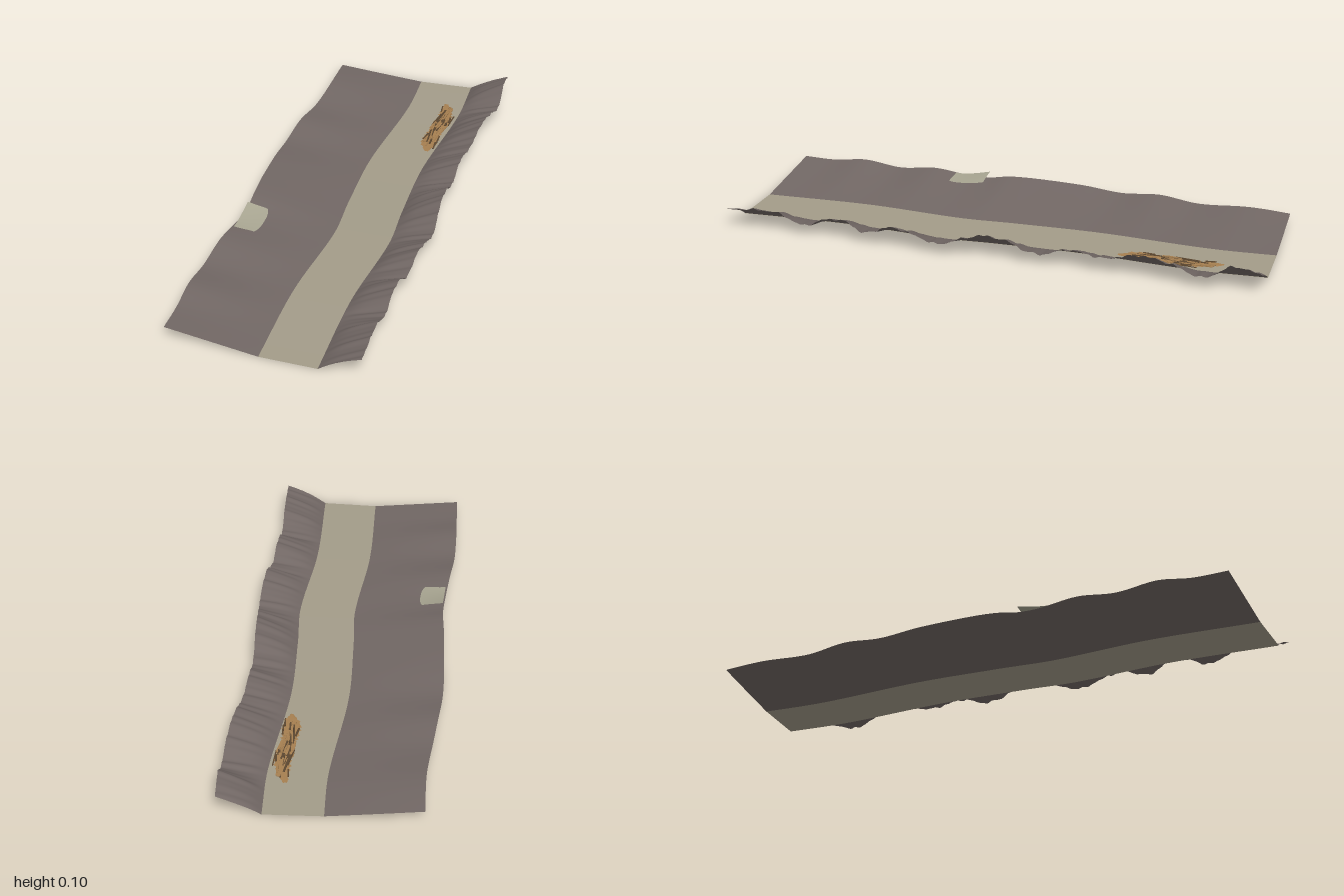
import * as THREE from 'three';

const mat = (name, color) => {
  const m = new THREE.MeshStandardMaterial({ color, side: THREE.DoubleSide });
  m.name = name;
  return m;
};

// Smooth curve through [z, value] pairs
function curve(keys) {
  const k = (i) => keys[Math.min(keys.length - 1, Math.max(0, i))];
  const slope = (i) => (k(i + 1)[1] - k(i - 1)[1]) / (k(i + 1)[0] - k(i - 1)[0]);
  return (z) => {
    z = Math.min(k(keys.length)[0], Math.max(k(0)[0], z));
    let i = 0;
    while (i < keys.length - 2 && z > k(i + 1)[0]) i++;
    const d = k(i + 1)[0] - k(i)[0], t = (z - k(i)[0]) / d;
    const a = k(i)[1], b = k(i + 1)[1], t2 = t * t, t3 = t2 * t;
    return a * (2 * t3 - 3 * t2 + 1) + slope(i) * d * (t3 - 2 * t2 + t)
      + b * (3 * t2 - 2 * t3) + slope(i + 1) * d * (t3 - t2);
  };
}

// Left edge of the winding road
const roadEdge = curve([[-1, -0.037], [-0.75, -0.022], [-0.32, -0.04], [0, -0.02],
  [0.22, 0], [0.6, -0.015], [1, 0.005]]);
// Crest heights of the two banks
const leftCrest = curve([[-1, 0.033], [-0.8, 0.048], [-0.6, 0.035], [-0.45, 0.048], [-0.3, 0.035],
  [-0.15, 0.05], [0, 0.058], [0.14, 0.06], [0.22, 0.048], [0.3, 0.045], [0.45, 0.056], [0.6, 0.038],
  [0.75, 0.055], [0.87, 0.042], [1, 0.045]]);
const rightCrest = curve([[-1, 0.075], [-0.9, 0.096], [-0.8, 0.045], [-0.69, 0.076], [-0.58, 0.092],
  [-0.5, 0.076], [-0.44, 0.06], [-0.3, 0.072], [-0.22, 0.045], [-0.15, 0.05], [-0.1, 0.076], [0, 0.092],
  [0.07, 0.076], [0.17, 0.045], [0.25, 0.066], [0.35, 0.083], [0.46, 0.046], [0.52, 0.076], [0.6, 0.078],
  [0.7, 0.043], [0.79, 0.078], [0.89, 0.083], [1, 0.073]]);

const roadY = (z) => 0.003 + 0.002 * Math.sin(z * 4);
const ridges = (z) => 0.0025 * Math.sin(z * 71) + 0.002 * Math.sin(z * 123 + 2) + 0.0015 * Math.sin(z * 187 + 1);

// Grid of points from point(u, v), facing up when u runs to +x and v to +z
function sheet(name, material, us, rows, point) {
  const pos = [], index = [], n = us.length;
  for (let i = 0; i <= rows; i++) {
    for (const u of us) pos.push(...point(u, i / rows));
  }
  for (let i = 0; i < rows; i++) {
    for (let j = 0; j < n - 1; j++) {
      const a = i * n + j, c = a + n;
      index.push(a, c, a + 1, a + 1, c, c + 1);
    }
  }
  const g = new THREE.BufferGeometry();
  g.setAttribute('position', new THREE.Float32BufferAttribute(pos, 3));
  g.setIndex(index);
  g.computeVertexNormals();
  const mesh = new THREE.Mesh(g, material);
  mesh.name = name;
  return mesh;
}

// Point at a sideways offset from the road edge; the back end is cut slightly askew
function ground(offset, v, height) {
  const w = v * 2 - 1;
  const z = w + (1 - v) * 0.071 * (0.325 - (roadEdge(w) + offset));
  return [roadEdge(z) + offset, height(z), z];
}

function seeded(seed) {
  return () => (seed = (seed * 16807) % 2147483647) / 2147483647;
}

export function createModel() {
  const rock = mat('rock', 0x716764);
  const dirt = mat('dirt', 0xa39c89);
  const slab = mat('paleStone', 0xa8a591);
  const wood = mat('wood', 0xa67f50);
  const darkWood = mat('darkWood', 0x5c4730);
  const model = new THREE.Group();
  model.name = 'roadSection';

  // Flat winding road
  model.add(sheet('road', dirt, [0, 0.07, 0.14, 0.212], 80, (u, v) => ground(u, v, roadY)));

  // Gentle bank on the right-hand side of the model
  model.add(sheet('gentleBank', rock, [0, 0.25, 0.5, 0.75, 1].reverse(), 100, (t, v) =>
    ground(-0.335 * t, v, (z) => roadY(z) + (leftCrest(z) - roadY(z)) * t)));

  // Steep ridged bank, rising quickly at its foot and then more evenly
  const rise = curve([[0, 0], [0.25, 0.33], [0.6, 0.67], [1, 1]]);
  model.add(sheet('steepBank', rock, [0, 0.12, 0.25, 0.4, 0.6, 0.8, 1], 240, (t, v) =>
    ground(0.208 + 0.152 * t, v, (z) =>
      roadY(z) + (rightCrest(z) - roadY(z)) * rise(t) + ridges(z + 0.02 * t) * Math.min(1, t * 2))));

  // Pale dished slab on the edge of the gentle bank
  model.add(sheet('paleSlab', slab, [0, 0.25, 0.5, 0.75, 1], 10, (u, v) => {
    const inset = u > 0.9 ? 0.012 * Math.pow(Math.abs(v * 2 - 1), 3) : 0;
    const x = -0.332 + 0.09 * u - inset;
    const z = 0.22 + 0.14 * v;
    const y = 0.073 - 0.016 * u - 0.022 * Math.sin(v * Math.PI / 2) * (1 - 0.5 * u);
    const bank = leftCrest(z) * Math.min(1, (roadEdge(z) - x) / 0.335);
    return [x, Math.max(y, bank + 0.003), z];
  }));

  // Scattered broken planks lying on the road
  const debris = new THREE.Group();
  debris.name = 'brokenPlanks';
  const middle = curve([[-0.82, 0.118], [-0.7, 0.143], [-0.6, 0.137], [-0.5, 0.138], [-0.44, 0.147]]);
  const half = curve([[-0.82, 0.01], [-0.72, 0.034], [-0.6, 0.032], [-0.5, 0.036], [-0.44, 0.007]]);
  debris.add(sheet('splinteredBoard', wood, [-1, -0.5, 0, 0.5, 1], 38, (u, v) => {
    const z = -0.82 + 0.38 * v;
    const ragged = 0.82 + 0.16 * Math.sin(v * 97 + u * 3);
    return [middle(z) + u * half(z) * ragged, 0.0075 + 0.0015 * Math.sin(u * 9 + v * 40), z];
  }));
  const rand = seeded(41);
  for (let i = 0; i < 46; i++) {
    const length = 0.03 + rand() * 0.07;
    const z = -0.8 + length / 2 + rand() * (0.34 - length);
    const plank = new THREE.Mesh(new THREE.BoxGeometry(0.004 + rand() * 0.005, 0.0025, length),
      i % 5 < 2 ? darkWood : wood);
    plank.name = 'plank';
    plank.position.set(middle(z) + (rand() * 2 - 1) * half(z) * 0.85, 0.0075 + rand() * 0.0035, z);
    plank.rotation.set((rand() - 0.5) * 0.06, (rand() - 0.5) * 0.3, (rand() - 0.5) * 0.5);
    debris.add(plank);
  }
  model.add(debris);
  return model;
}
